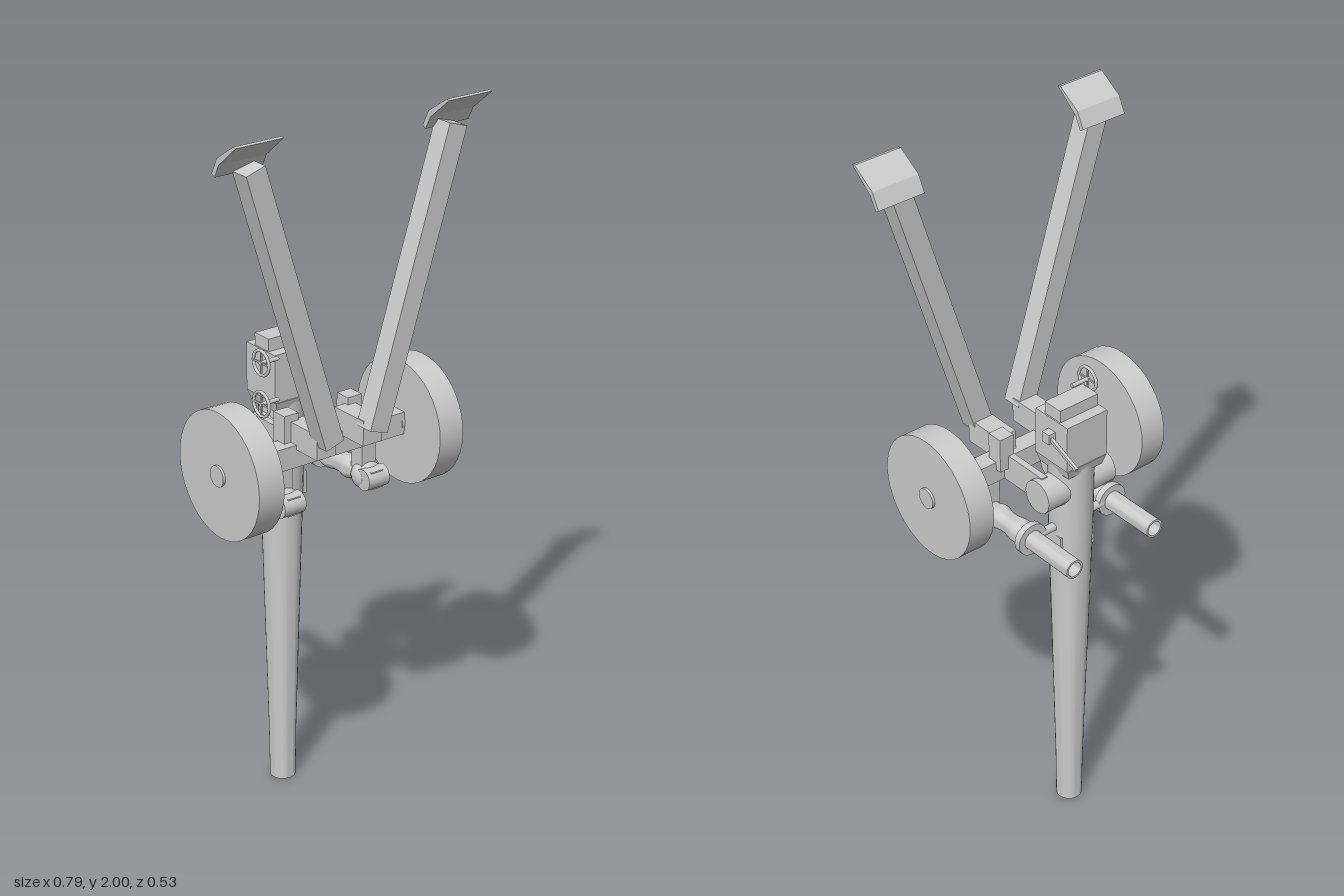
import * as THREE from 'three';
import { toCreasedNormals } from 'three/addons/utils/BufferGeometryUtils.js';

const metal = new THREE.MeshStandardMaterial({ color: 0xcccccc });
metal.name = 'light grey metal';

export function createModel() {
  const model = new THREE.Group();
  model.name = 'fieldGun';

  const add = (name, geometry, x, y, z) => {
    const mesh = new THREE.Mesh(geometry, metal);
    mesh.name = name;
    mesh.position.set(x, y, z);
    model.add(mesh);
    return mesh;
  };
  // Box given by its extents on each axis
  const box = (name, [x0, x1], [y0, y1], [z0, z1]) =>
    add(name, new THREE.BoxGeometry(Math.abs(x1 - x0), y1 - y0, z1 - z0),
      (x0 + x1) / 2, (y0 + y1) / 2, (z0 + z1) / 2);
  // Cylinder lying along x
  const rod = (name, r, x0, x1, y, z, sides = 24) =>
    add(name, new THREE.CylinderGeometry(r, r, Math.abs(x1 - x0), sides).rotateZ(Math.PI / 2),
      (x0 + x1) / 2, y, z);
  const lathe = (points, sides = 24) => toCreasedNormals(
    new THREE.LatheGeometry(points.map(p => new THREE.Vector2(...p)), sides), 0.6);

  // Barrel standing on its hollow muzzle
  const gunZ = -0.09;
  add('barrel', lathe([[0, 0.5], [0.018, 0.5], [0.018, 0], [0.036, 0], [0.038, 0.15],
    [0.06, 0.98], [0.062, 1.17], [0, 1.17]], 28), 0, 0, gunZ);

  // Breech block with tapered throat and rear cap
  const throat = new THREE.CylinderGeometry(0.092, 0.08, 0.03, 4).rotateY(Math.PI / 4);
  add('breechThroat', throat.toNonIndexed(), 0, 1.155, gunZ).geometry.computeVertexNormals();
  box('breechBlock', [-0.067, 0.067], [1.17, 1.305], [-0.153, -0.028]);
  box('breechCap', [-0.063, 0.063], [1.305, 1.34], [-0.121, -0.06]);

  // Breech lever on the left side
  box('leverPivot', [0.066, 0.089], [1.24, 1.27], [-0.107, -0.08]);
  const lever = box('breechLever', [0.075, 0.084], [1.23, 1.24], [-0.21, -0.09]);
  lever.rotation.x = -0.4;
  lever.position.y = 1.235;

  // Collar joining the barrel to the recoil cylinders
  box('barrelCollar', [-0.058, 0.058], [0.87, 0.935], [-0.118, -0.056]);
  rod('collarRod', 0.012, -0.12, 0.12, 0.96, gunZ, 12);

  // Axle
  box('axle', [-0.255, 0.255], [1.05, 1.113], [0.062, 0.115]);

  // Spade plate profile in z, y
  const plate = new THREE.Shape([[0.165, 1.912], [0.187, 1.955], [0.255, 2.0], [0.265, 1.998],
    [0.195, 1.94], [0.177, 1.905]].map(p => new THREE.Vector2(...p)));
  const spadeGeometry = new THREE.ExtrudeGeometry(plate, { depth: 0.14, bevelEnabled: false });
  spadeGeometry.rotateY(-Math.PI / 2).scale(1, 1, 1).translate(0.07, 0, 0);

  // Recoil cylinder profile along z, with an open rear end
  const recoil = lathe([[0, -0.12], [0.021, -0.12], [0.021, -0.267], [0.027, -0.267],
    [0.027, -0.1], [0.046, -0.1], [0.046, -0.081], [0.028, -0.081], [0.034, -0.055],
    [0.034, -0.04], [0.029, -0.015], [0.029, 0.01], [0.034, 0.03], [0.034, 0.04],
    [0.028, 0.06], [0.028, 0.12], [0, 0.12]]).rotateX(Math.PI / 2);

  for (const s of [1, -1]) {
    // Solid wheels with small hubs
    rod('wheel', 0.174, s * 0.253, s * 0.331, 1.08, 0.089, 40);
    rod('hub', 0.029, s * 0.245, s * 0.338, 1.08, 0.089, 20);

    // Trunnion, cheek and bearing block
    rod('trunnion', 0.047, s * 0.04, s * 0.114, 1.08, gunZ);
    box('cheek', [s * 0.079, s * 0.098], [1.05, 1.13], [-0.09, 0.07]);
    box('bearingBlock', [s * 0.08, s * 0.126], [1.09, 1.19], [0.045, 0.092]);

    // Trail leg, hinge and spade
    box('trailHinge', [s * 0.045, s * 0.105], [1.1, 1.17], [0.08, 0.202]);
    const dx = 0.242, dy = 0.775;
    const leg = add('trailLeg', new THREE.BoxGeometry(0.059, Math.hypot(dx, dy), 0.058),
      s * 0.192, 1.532, 0.205);
    leg.rotation.z = -s * Math.atan2(dx, dy);
    add('spade', spadeGeometry, s * 0.323, 0, 0);

    // Recoil cylinder hung below the axle
    add('recoilCylinder', recoil, s * 0.137, 0.96, 0);
    box('recoilHanger', [s * 0.113, s * 0.158], [0.95, 1.052], [0.065, 0.112]);
    box('recoilFork', [s * 0.116, s * 0.156], [0.935, 0.985], [0.08, 0.148]);
    rod('recoilPin', 0.03, s * 0.104, s * 0.172, 0.96, 0.127);
    add('recoilEnd', new THREE.SphereGeometry(0.041, 20, 14), s * 0.137, 0.96, 0.1);
  }

  // Two aiming handwheels on the right side
  for (const y of [1.305, 1.19]) {
    const z = -0.01;
    add('handwheelRim', new THREE.TorusGeometry(0.034, 0.0045, 8, 16).rotateY(Math.PI / 2), -0.124, y, z);
    rod('handwheelShaft', 0.006, -0.128, -0.07, y, z, 10);
    for (let i = 0; i < 2; i++) {
      const spoke = add('handwheelSpoke', new THREE.BoxGeometry(0.004, 0.066, 0.005), -0.124, y, z);
      spoke.rotation.x = i * Math.PI / 2;
    }
  }
  return model;
}
